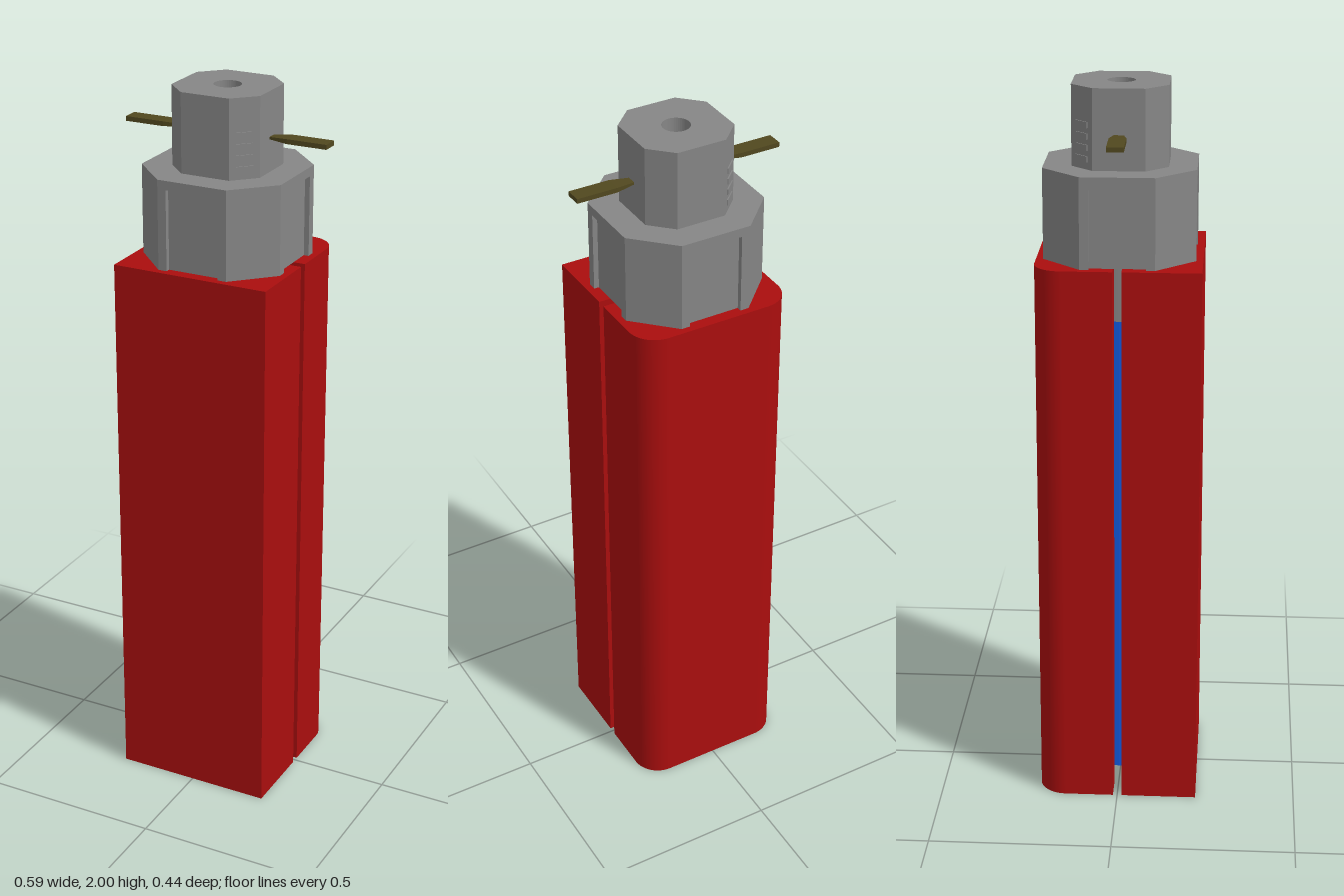
import * as THREE from 'three';

const material = (name, color, extra = {}) => {
  const m = new THREE.MeshStandardMaterial({ color, ...extra });
  m.name = name;
  return m;
};

// Extrude a plan drawn in (x, -z) upwards from y0 to y1.
function prism(shape, y0, y1) {
  const g = new THREE.ExtrudeGeometry(shape, { depth: y1 - y0, bevelEnabled: false, curveSegments: 24 });
  return g.rotateX(-Math.PI / 2).translate(0, y0, 0);
}

const polygon = (pts) => new THREE.Shape(pts.map(([x, y]) => new THREE.Vector2(x, y)));

// Octagon with flats at r and corners at c; optional notches in the four main sides.
function octagon(r, c, notch = 0, depth = 0) {
  const pts = [];
  for (let i = 0; i < 4; i++) {
    const a = (i * Math.PI) / 2;
    const side = notch
      ? [[r, -c], [r, -notch], [r - depth, -notch], [r - depth, notch], [r, notch], [r, c]]
      : [[r, -c], [r, c]];
    for (const [x, y] of side) {
      pts.push([x * Math.cos(a) - y * Math.sin(a), x * Math.sin(a) + y * Math.cos(a)]);
    }
  }
  return polygon(pts);
}

export function createModel() {
  const group = new THREE.Group();
  const red = material('red', 0xaa0e0e);
  const grey = material('grey', 0x868686);
  const blue = material('blue', 0x1059dc, { side: THREE.DoubleSide });
  const bronze = material('bronze', 0x51481f);

  const add = (name, geometry, mat, parent = group) => {
    const mesh = new THREE.Mesh(geometry, mat);
    mesh.name = name;
    parent.add(mesh);
    return mesh;
  };

  // Housing: two halves around a bore, with a narrow slot between them
  const W = 0.222, gap = 0.012, bore = 0.146, top = 1.54;
  const a = Math.asin(gap / bore), bx = bore * Math.cos(a);
  const front = new THREE.Shape();
  front.moveTo(-W, -gap);
  front.lineTo(-W, -W);
  front.lineTo(W, -W);
  front.lineTo(W, -gap);
  front.lineTo(bx, -gap);
  front.absarc(0, 0, bore, -a, -Math.PI + a, true);
  add('frontHousing', prism(front, 0, top), red);

  const R = 0.075;
  const back = new THREE.Shape();
  back.moveTo(W, gap);
  back.lineTo(W, W - R);
  back.absarc(W - R, W - R, R, 0, Math.PI / 2, false);
  back.lineTo(-W + R, W);
  back.absarc(-W + R, W - R, R, Math.PI / 2, Math.PI, false);
  back.lineTo(-W, gap);
  back.lineTo(-bx, gap);
  back.absarc(0, 0, bore, Math.PI - a, a, true);
  add('backHousing', prism(back, 0, top), red);

  // Inner tube and the plug closing its upper end
  const ring = new THREE.Shape();
  ring.absarc(0, 0, 0.123, 0, Math.PI * 2, false);
  const inner = new THREE.Path();
  inner.absarc(0, 0, 0.1, 0, Math.PI * 2, true);
  ring.holes.push(inner);
  add('innerTube', prism(ring, 0.04, 1.38), blue);
  add('plug', new THREE.CylinderGeometry(0.135, 0.135, 0.16, 40).translate(0, 1.46, 0), grey);

  // Collar: recessed panels on the main sides under a plain rim
  add('collar', prism(octagon(0.203, 0.099, 0.075, 0.014), top, 1.76), grey);
  add('collarRim', prism(octagon(0.203, 0.099), 1.76, 1.785), grey);

  // Cap with a round socket in the top
  const capTop = octagon(0.128, 0.069);
  const socket = new THREE.Path();
  socket.absarc(0, 0, 0.037, 0, Math.PI * 2, true);
  capTop.holes.push(socket);
  add('capBase', prism(octagon(0.128, 0.069), 1.785, 1.88), grey);
  add('capTop', prism(capTop, 1.88, 2), grey);
  add('socketBlade', new THREE.BoxGeometry(0.072, 0.03, 0.006).translate(0, 1.895, 0), bronze);

  // Grip ribs on two opposite slanted sides
  const ribs = new THREE.Group();
  ribs.name = 'gripRibs';
  group.add(ribs);
  const ribDistance = (0.128 + 0.069) / Math.SQRT2;
  for (const turn of [Math.PI / 4, Math.PI * 1.25]) {
    for (let i = 0; i < 4; i++) {
      const rib = add('rib', new THREE.BoxGeometry(0.046, 0.016, 0.006), grey, ribs);
      rib.position.set(Math.sin(turn) * ribDistance, 1.812 + i * 0.03, Math.cos(turn) * ribDistance);
      rib.rotation.y = turn;
    }
  }

  // Side prongs: flat blades that narrow and thin towards the cap
  for (const s of [1, -1]) {
    const g = new THREE.BoxGeometry(0.173, 0.013, 0.045, 3, 1, 1);
    const p = g.attributes.position;
    const xs = [0.12, 0.13, 0.18, 0.293], width = [0.6, 0.62, 1, 1], thick = [0.5, 0.5, 1, 1];
    for (let i = 0; i < p.count; i++) {
      const k = Math.round((p.getX(i) / 0.173 + 0.5) * 3);
      p.setXYZ(i, xs[k], p.getY(i) * thick[k], p.getZ(i) * width[k]);
    }
    const flat = g.toNonIndexed();
    flat.computeVertexNormals();
    const prong = add(s > 0 ? 'leftProng' : 'rightProng', flat, bronze);
    prong.position.y = 1.876;
    prong.rotation.y = s > 0 ? 0 : Math.PI;
  }
  return group;
}
